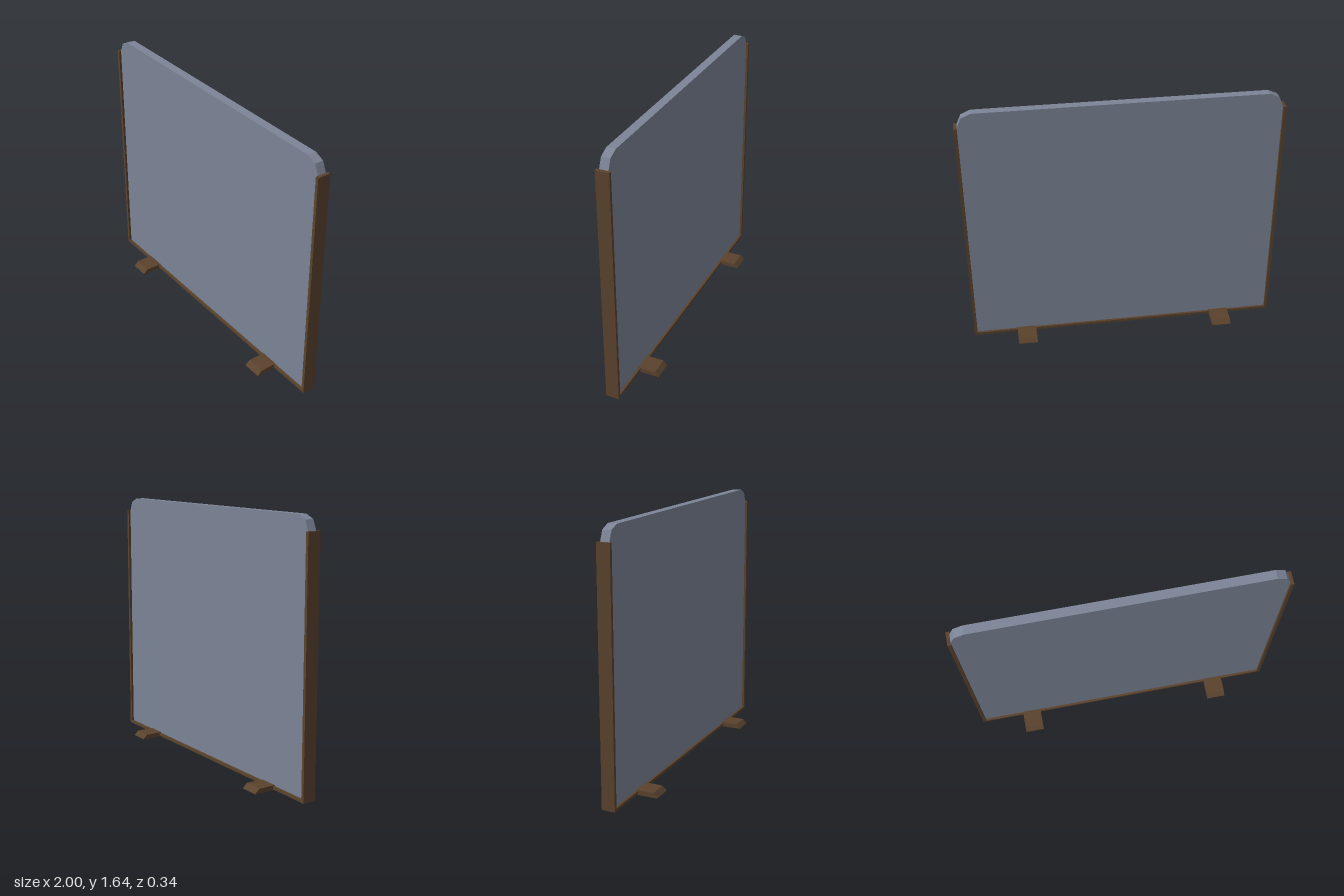
import * as THREE from 'three';

const panelMat = new THREE.MeshStandardMaterial({ color: 0x7b8496 });
panelMat.name = 'slate blue panel';
const woodMat = new THREE.MeshStandardMaterial({ color: 0x5a432d });
woodMat.name = 'dark brown frame';

// Extrude an outline along z, centred on z = 0
function slab(points, depth) {
  const shape = new THREE.Shape(points.map(([x, y]) => new THREE.Vector2(x, y)));
  return new THREE.ExtrudeGeometry(shape, { depth, bevelEnabled: false }).translate(0, 0, -depth / 2);
}

function addMesh(group, name, geometry, material) {
  const mesh = new THREE.Mesh(geometry, material);
  mesh.name = name;
  group.add(mesh);
  return mesh;
}

export function createModel() {
  const model = new THREE.Group();
  model.name = 'partitionScreen';

  // Screen panel with faceted upper corners
  const corner = [[0.98, 1.55], [0.953, 1.612], [0.893, 1.638]];
  const outline = [
    [-0.98, 0.024], [0.98, 0.024],
    ...corner,
    ...corner.map(([x, y]) => [-x, y]).reverse(),
  ];
  addMesh(model, 'panel', slab(outline, 0.056), panelMat);

  // U-shaped edge frame: two posts and a bottom rail in one outline
  const frame = [
    [-1, 0.007], [1, 0.007], [1, 1.55], [0.98, 1.55],
    [0.98, 0.025], [-0.98, 0.025], [-0.98, 1.55], [-1, 1.55],
  ];
  addMesh(model, 'edgeFrame', slab(frame, 0.085), woodMat);

  // Feet with sloping ends, running front to back
  const footProfile = [[-0.17, 0], [0.17, 0], [0.17, 0.004], [0.142, 0.03], [-0.142, 0.03], [-0.17, 0.004]];
  for (const [name, side] of [['leftFoot', 1], ['rightFoot', -1]]) {
    const foot = addMesh(model, name, slab(footProfile, 0.124), woodMat);
    foot.rotation.y = Math.PI / 2;
    foot.position.x = side * 0.652;
  }
  return model;
}
